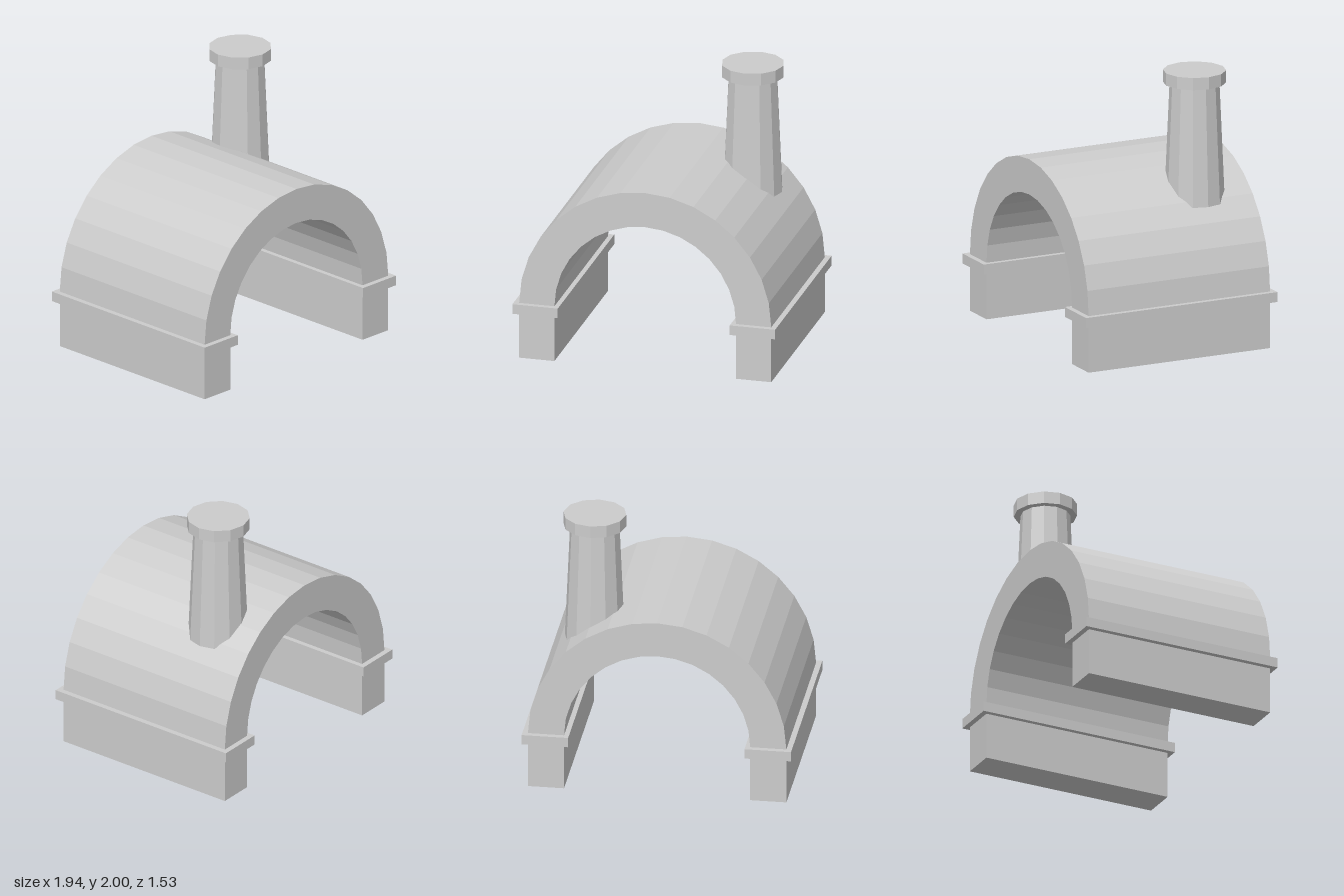
import * as THREE from 'three';

const OUTER = 0.93, INNER = 0.67, DEPTH = 1.45;
const SPRING = 0.418, LEDGE_BOTTOM = 0.345;

export function createModel() {
  const model = new THREE.Group();
  model.name = 'archedVault';
  const stone = new THREE.MeshStandardMaterial({ color: 0xcccccc, flatShading: true });
  stone.name = 'grey stone';

  const add = (name, geometry, x, y, z) => {
    const mesh = new THREE.Mesh(geometry, stone);
    mesh.name = name;
    mesh.position.set(x, y, z);
    model.add(mesh);
  };

  // Half-ring vault, 16 facets, extruded from back to front
  const ring = new THREE.Shape();
  ring.absarc(0, 0, OUTER, 0, Math.PI, false);
  ring.absarc(0, 0, INNER, Math.PI, 0, true);
  const vault = new THREE.ExtrudeGeometry(ring, { depth: DEPTH, curveSegments: 8, bevelEnabled: false });
  add('vault', vault, 0, SPRING, -DEPTH / 2);

  // Side walls with a projecting ledge under the vault
  for (const [side, s] of [['left', 1], ['right', -1]]) {
    const x = s * (OUTER + INNER) / 2;
    const ledgeHeight = SPRING - LEDGE_BOTTOM;
    add(side + 'Wall', new THREE.BoxGeometry(OUTER - INNER, LEDGE_BOTTOM, DEPTH), x, LEDGE_BOTTOM / 2, 0);
    add(side + 'Ledge', new THREE.BoxGeometry(0.335, ledgeHeight, 1.53), x + s * 0.002, LEDGE_BOTTOM + ledgeHeight / 2, 0);
  }

  // Tapered twelve-sided chimney and its cap
  add('chimneyShaft', new THREE.CylinderGeometry(0.178, 0.216, 0.875, 12), 0.505, 1.4755, -0.338);
  add('chimneyCap', new THREE.CylinderGeometry(0.226, 0.226, 0.09, 12), 0.505, 1.955, -0.338);

  return model;
}
